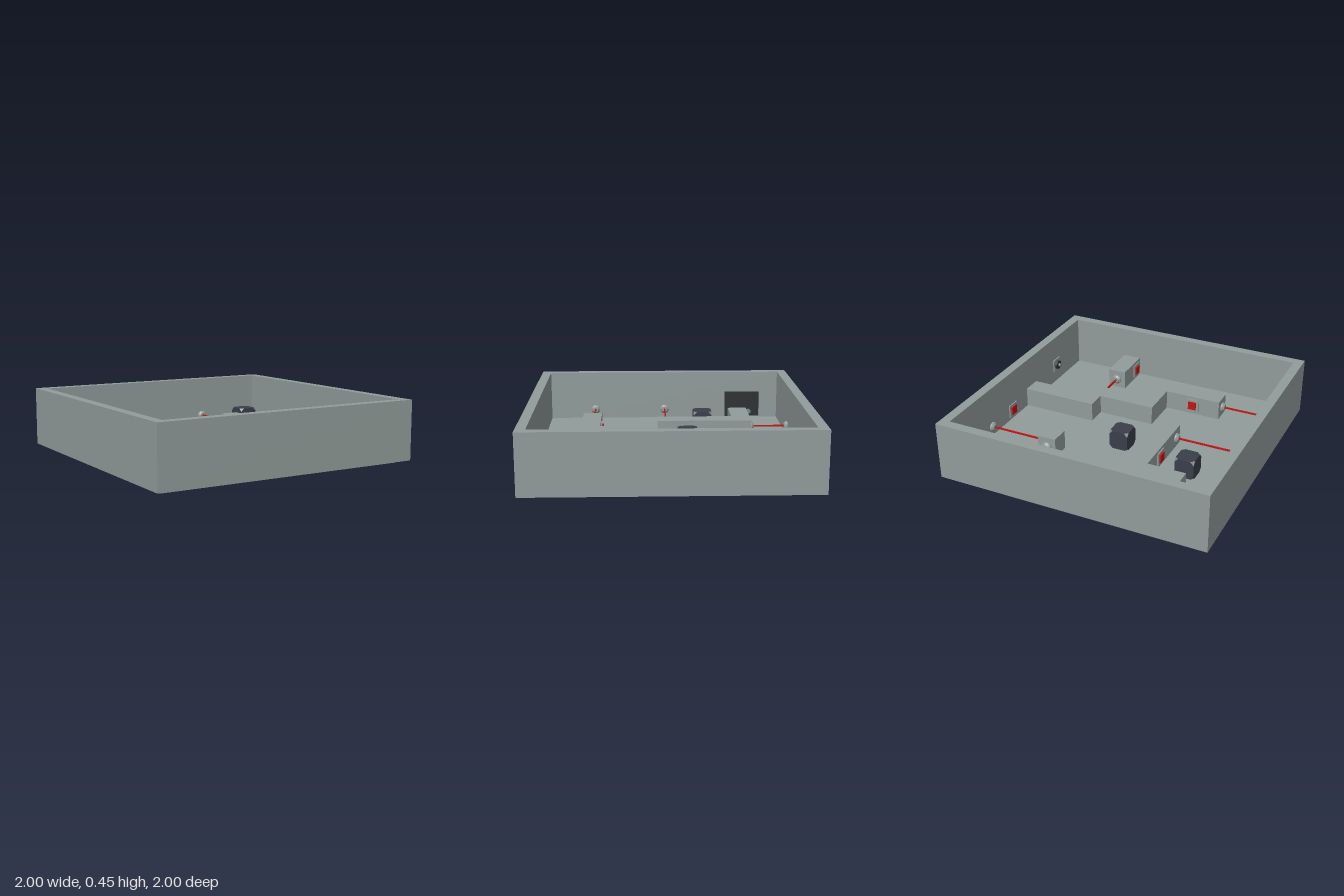
import * as THREE from 'three';
import { ConvexGeometry } from 'three/addons/geometries/ConvexGeometry.js';

const mat = (name, color, extra = {}) => {
  const m = new THREE.MeshStandardMaterial({ color, ...extra });
  m.name = name;
  return m;
};

export function createModel() {
  const root = new THREE.Group();
  root.name = 'puzzleRoom';
  const concrete = mat('concreteGrey', 0x919c9a);
  const dark = mat('darkSlate', 0x3a3e4a);
  const corner = mat('cornerGrey', 0x7c8688, { side: THREE.DoubleSide });
  const red = mat('signalRed', 0xc41414);
  const black = mat('doorCharcoal', 0x2c3032);

  const add = (parent, name, geometry, material) => {
    const mesh = new THREE.Mesh(geometry, material);
    mesh.name = name;
    parent.add(mesh);
    return mesh;
  };
  // Box given by its minimum and maximum on each axis
  const box = (name, x0, x1, y0, y1, z0, z1, material = concrete, parent = root) => {
    const mesh = add(parent, name, new THREE.BoxGeometry(x1 - x0, y1 - y0, z1 - z0), material);
    mesh.position.set((x0 + x1) / 2, (y0 + y1) / 2, (z0 + z1) / 2);
    return mesh;
  };
  // Group whose local +z points out of a wall
  const mount = (name, x, y, z, nx, nz) => {
    const g = new THREE.Group();
    g.name = name;
    g.position.set(x, y, z);
    g.rotation.y = Math.atan2(nx, nz);
    root.add(g);
    return g;
  };

  const FLOOR = 0.071, TOP = 0.214, MID = 0.143, IN = 0.93;

  // Floor and outer walls
  box('floor', -IN, IN, 0, FLOOR, -IN, IN);
  box('frontWall', -1, 1, 0.02, 0.45, IN, 1);
  box('backWall', -1, 1, 0.02, 0.45, -1, -IN);
  box('leftWall', IN, 1, 0.02, 0.45, -IN, IN);
  box('rightWallOuter', -1, -0.965, 0.02, 0.45, -IN, IN);

  // Inner layer of the right wall, with the doorway recess
  const rect = (P, a, b, c, d) => new P([[a, c], [b, c], [b, d], [a, d]].map(p => new THREE.Vector2(...p)));
  const wallShape = rect(THREE.Shape, -IN, IN, 0.02, 0.45);
  wallShape.holes.push(rect(THREE.Path, 0.5, 0.786, FLOOR, 0.285));
  const inner = add(root, 'rightWallInner',
    new THREE.ExtrudeGeometry(wallShape, { depth: 0.035, bevelEnabled: false }), concrete);
  inner.rotation.y = Math.PI / 2;
  inner.position.x = -0.965;
  box('doorPanel', -0.965, -0.957, FLOOR, 0.285, -0.786, -0.5, black);
  for (const z of [-0.585, -0.7]) {
    const g = mount('doorKnob', -0.957, 0.11, z, 1, 0);
    add(g, 'knob', new THREE.CylinderGeometry(0.022, 0.022, 0.016, 12).rotateX(Math.PI / 2), corner);
  }

  // Inner blocks: x0, x1, z0, z1
  for (const [x0, x1, z0, z1] of [
    [-0.36, -0.22, -0.643, 0.071], [-0.643, -0.36, -0.643, -0.5], [0.36, 0.5, -0.5, -0.36],
    [0.36, IN, 0.071, 0.214], [0.071, 0.5, 0.214, 0.357], [-0.071, 0.071, 0.214, 0.643],
    [-0.5, -0.071, 0.5, 0.643], [0.36, 0.5, 0.643, IN],
  ]) box('block', x0, x1, FLOOR, TOP, z0, z1);

  // Laser beams with a domed emitter at each end
  const dome = new THREE.LatheGeometry(
    [[0, 0], [0.036, 0], [0.036, 0.012], [0.022, 0.026], [0, 0.026]].map(p => new THREE.Vector2(...p)), 12)
    .rotateX(Math.PI / 2).toNonIndexed();
  dome.computeVertexNormals();
  for (const [x0, z0, x1, z1] of [
    [-0.33, -IN, -0.33, -0.643], [0.428, -IN, 0.428, -0.5], [0.5, -0.43, IN, -0.43],
    [-IN, 0, -0.36, 0], [-IN, 0.57, -0.5, 0.57], [0.428, 0.357, 0.428, 0.643],
  ]) {
    const dx = Math.sign(x1 - x0), dz = Math.sign(z1 - z0), length = Math.hypot(x1 - x0, z1 - z0);
    const start = mount('emitter', x0, MID, z0, dx, dz);
    add(start, 'emitterDome', dome, concrete);
    const beam = add(start, 'laserBeam', new THREE.BoxGeometry(0.011, 0.011, length - 0.04), red);
    beam.position.z = length / 2;
    add(mount('receiver', x1, MID, z1, -dx, -dz), 'receiverDome', dome, concrete);
  }

  // Framed red switches: x, z, outward direction
  for (const [x, z, nx, nz] of [
    [-0.36, -0.286, -1, 0], [-0.286, 0.5, 0, -1], [0.36, 0.857, -1, 0], [IN, -0.145, -1, 0],
  ]) {
    const g = mount('wallSwitch', x, MID, z, nx, nz);
    box('switchFrame', -0.05, 0.05, -0.05, 0.05, 0, 0.009, concrete, g);
    box('switchButton', -0.031, 0.031, -0.031, 0.031, 0, 0.019, red, g);
  }

  // Small wall dial on the left wall
  const dial = mount('wallDial', IN, 0.214, 0.54, -1, 0);
  box('dialPlate', -0.05, 0.05, -0.05, 0.05, 0, 0.009, concrete, dial);
  const disc = (name, r, depth, material) => {
    add(dial, name, new THREE.CylinderGeometry(r, r, depth, 8).rotateX(Math.PI / 2), material).position.z = depth / 2;
  };
  disc('dialRing', 0.036, 0.026, black);
  disc('dialHub', 0.014, 0.045, corner);

  // Dark crates with grey clipped corners
  const h = 0.071, c = 0.027, body = [], tips = [];
  for (const sx of [-1, 1]) for (const sy of [-1, 1]) for (const sz of [-1, 1]) {
    const tri = [[h - c, h, h], [h, h - c, h], [h, h, h - c]]
      .map(([x, y, z]) => new THREE.Vector3(x * sx, y * sy, z * sz));
    if (sx * sy * sz > 0) tri.reverse();
    body.push(...tri);
    const lift = new THREE.Vector3(sx, sy, sz).multiplyScalar(0.001);
    tips.push(...tri.map(p => p.clone().add(lift)));
  }
  const bodyGeometry = new ConvexGeometry(body);
  const tipGeometry = new THREE.BufferGeometry().setFromPoints(tips);
  // Wind every corner triangle outward
  const p = tipGeometry.attributes.position, a = new THREE.Vector3(), b = a.clone(), d = a.clone();
  for (let i = 0; i < p.count; i += 3) {
    a.fromBufferAttribute(p, i); b.fromBufferAttribute(p, i + 1); d.fromBufferAttribute(p, i + 2);
    if (b.clone().sub(a).cross(d.clone().sub(a)).dot(a) < 0) {
      p.setXYZ(i + 1, d.x, d.y, d.z);
      p.setXYZ(i + 2, b.x, b.y, b.z);
    }
  }
  tipGeometry.computeVertexNormals();
  for (const [x, z] of [[-0.571, -0.289], [0, -0.146], [0.715, -0.718]]) {
    const crate = new THREE.Group();
    crate.name = 'crate';
    crate.position.set(x, FLOOR + h, z);
    add(crate, 'crateBody', bodyGeometry, dark);
    add(crate, 'crateCorners', tipGeometry, corner);
    root.add(crate);
  }
  return root;
}
